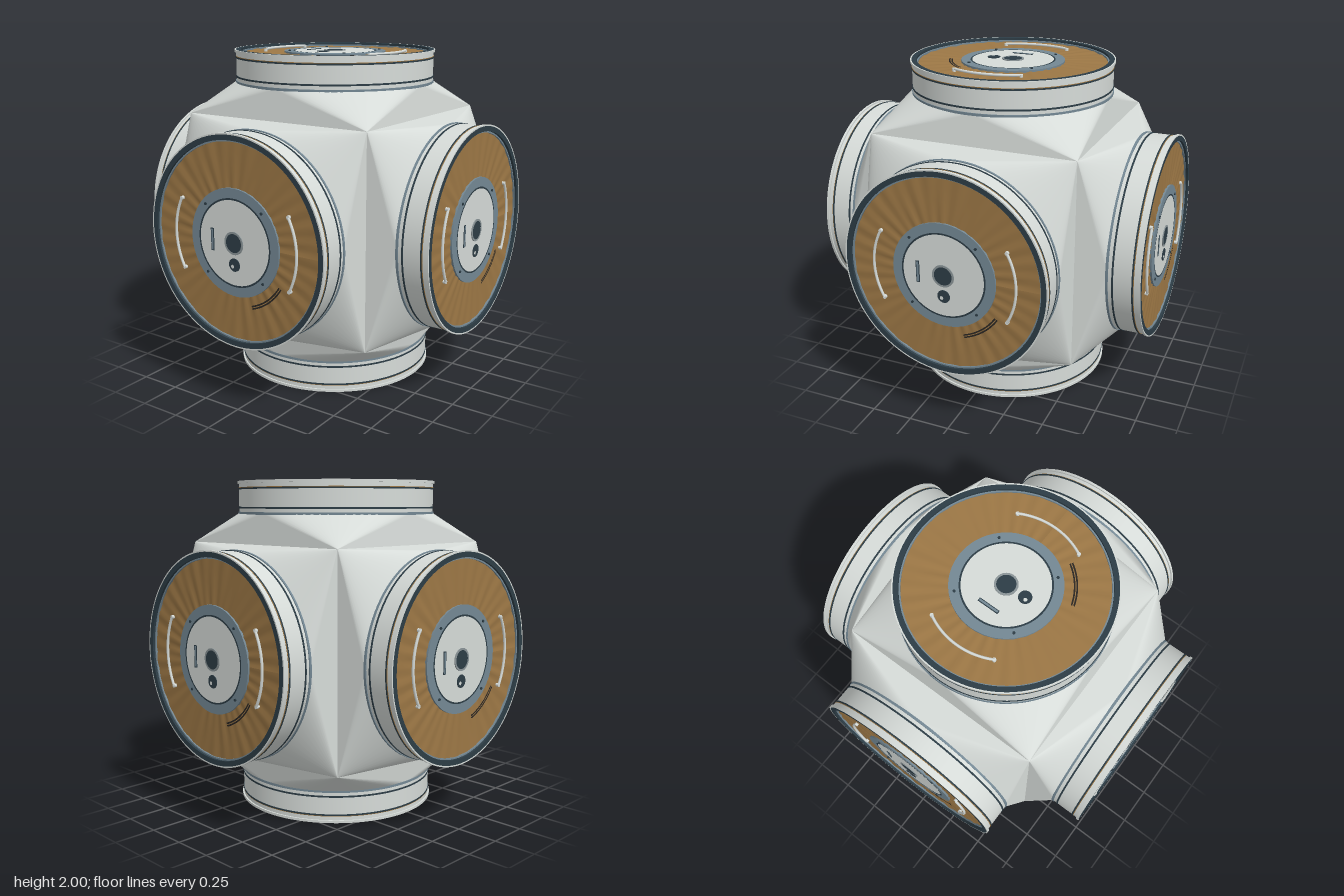
import * as THREE from 'three';
import { mergeGeometries } from 'three/addons/utils/BufferGeometryUtils.js';

const mat = (name, color) => {
  const m = new THREE.MeshStandardMaterial({ color });
  m.name = name;
  return m;
};

export function createModel() {
  const hull = mat('hull light grey', 0xd6dbd8);
  const slate = mat('slate blue', 0x748894);
  const dark = mat('dark seal', 0x2d3d46);
  const foil = mat('golden foil', 0x9c7745);
  const black = mat('black slot', 0x2a2622);
  const shade = mat('hub grey', 0x8a9497);

  const port = new THREE.Group();
  const add = (name, geometry, material, x = 0, y = 0, z = 0) => {
    const mesh = new THREE.Mesh(geometry, material);
    mesh.name = name;
    mesh.position.set(x, y, z);
    port.add(mesh);
    return mesh;
  };

  // Turned part about the port axis; every [radius, depth] step keeps a sharp edge
  const turned = (name, material, profile, segments = 96, x = 0, y = 0) => {
    const pieces = [];
    for (let i = 0; i + 1 < profile.length; i++) {
      const pair = [profile[i], profile[i + 1]].map(([r, z]) => new THREE.Vector2(r, z));
      pieces.push(new THREE.LatheGeometry(pair, segments));
    }
    return add(name, mergeGeometries(pieces).rotateX(Math.PI / 2), material, x, y);
  };

  // Square-to-round shoulder: a cone fan at each corner, a flat triangle on each edge
  const A = 0.627, R = 0.605, H = 0.805, STEPS = 20;
  const pos = [], nor = [];
  const vertex = (p, n) => { pos.push(p.x, p.y, p.z); nor.push(n.x, n.y, n.z); };
  const rim = (t) => new THREE.Vector3(R * Math.cos(t), R * Math.sin(t), H);
  const corner = (k) => {
    const t = Math.PI / 4 + k * Math.PI / 2;
    return new THREE.Vector3(A * Math.SQRT2 * Math.cos(t), A * Math.SQRT2 * Math.sin(t), A);
  };
  const coneNormal = (t, c) => new THREE.Vector3(-Math.sin(t), Math.cos(t), 0)
    .cross(rim(t).sub(c)).normalize();
  for (let k = 0; k < 4; k++) {
    const c = corner(k), start = k * Math.PI / 2;
    for (let i = 0; i < STEPS; i++) {
      const t1 = start + (i / STEPS) * Math.PI / 2;
      const t2 = start + ((i + 1) / STEPS) * Math.PI / 2;
      vertex(c, coneNormal((t1 + t2) / 2, c));
      vertex(rim(t2), coneNormal(t2, c));
      vertex(rim(t1), coneNormal(t1, c));
    }
    const n = coneNormal(start, c);
    [corner(k - 1), c, rim(start)].forEach((p) => vertex(p, n));
  }
  const shoulder = new THREE.BufferGeometry();
  shoulder.setAttribute('position', new THREE.Float32BufferAttribute(pos, 3));
  shoulder.setAttribute('normal', new THREE.Float32BufferAttribute(nor, 3));
  add('shoulder', shoulder, hull);

  // Collar with its seams and end flange
  turned('collar', hull, [[0.603, 0.8], [0.603, 0.985], [0.612, 0.985], [0.612, 1], [0.604, 1]]);
  turned('baseBand', slate, [[0.603, 0.8], [0.608, 0.8], [0.608, 0.815], [0.603, 0.815]]);
  turned('collarSeam', dark, [[0.603, 0.835], [0.606, 0.835], [0.606, 0.845], [0.603, 0.845]]);
  turned('flangeSeam', dark, [[0.603, 0.949], [0.606, 0.949], [0.606, 0.958], [0.603, 0.958]]);
  turned('flangeFoilLine', foil, [[0.603, 0.958], [0.605, 0.958], [0.605, 0.962], [0.603, 0.962]]);

  // Hatch face
  turned('hatchSeal', dark, [[0.604, 1], [0.574, 1], [0.574, 0.965]]);
  turned('sealLiner', slate, [[0.574, 0.986], [0.565, 0.986], [0.565, 0.965]]);
  const blanket = new THREE.RingGeometry(0.3, 0.568, 144, 4);
  const bp = blanket.attributes.position;
  for (let i = 0; i < bp.count; i++) {
    const x = bp.getX(i), y = bp.getY(i), r = Math.hypot(x, y), t = Math.atan2(y, x);
    const fold = Math.sin(36 * t + 5 * r) + 0.6 * Math.sin(23 * t - 9 * r);
    bp.setZ(i, 0.0022 * fold);
  }
  blanket.computeVertexNormals();
  add('foilBlanket', blanket, foil, 0, 0, 0.977);
  turned('hatchRing', slate, [[0.31, 0.968], [0.31, 0.988], [0.25, 0.988]]);
  turned('plateOutline', dark, [[0.254, 0.989], [0.244, 0.989]]);
  turned('hatchPlate', hull, [[0.25, 0.988], [0, 0.988]]);
  turned('hubRing', shade, [[0.066, 0.988], [0.066, 0.993], [0.054, 0.993]], 32);
  turned('hubWindow', dark, [[0.056, 0.992], [0, 0.992]], 32);
  turned('valve', dark, [[0.038, 0.988], [0.038, 0.992], [0, 0.992]], 24, 0, -0.125);
  turned('valveInset', hull, [[0.011, 0.993], [0, 0.993]], 16, -0.012, -0.135);
  for (let k = 0; k < 4; k++) {
    const t = Math.PI / 4 + k * Math.PI / 2;
    turned('ringBolt', dark, [[0.008, 0.988], [0.008, 0.994], [0, 0.994]], 10,
      0.28 * Math.cos(t), 0.28 * Math.sin(t));
  }
  add('latchSlotFrame', new THREE.BoxGeometry(0.021, 0.13, 0.006), dark, -0.155, 0, 0.988);
  add('latchSlot', new THREE.BoxGeometry(0.012, 0.12, 0.008), slate, -0.155, 0, 0.988);

  // Curved handrails with feet, one on each side
  class Arc extends THREE.Curve {
    constructor(mid) { super(); this.mid = mid; }
    getPoint(u, target = new THREE.Vector3()) {
      const t = this.mid + (u - 0.5) * 1.0;
      return target.set(0.43 * Math.cos(t), 0.43 * Math.sin(t), 0.991);
    }
  }
  for (const mid of [0, Math.PI]) {
    const arc = new Arc(mid);
    add('handrail', new THREE.TubeGeometry(arc, 24, 0.008, 8), hull);
    for (const u of [0, 1]) {
      const p = arc.getPoint(u);
      const foot = new THREE.CylinderGeometry(0.011, 0.011, 0.026, 10).rotateX(Math.PI / 2);
      add('handrailFoot', foot, hull, p.x, p.y, 0.982);
    }
  }

  // Paired dark slots along the lower edge
  for (const r of [0.36, 0.374]) {
    const slot = new THREE.RingGeometry(r, r + 0.009, 20, 1, -1.26, 0.68);
    add('foilSlot', slot, black, 0, 0, 0.984);
  }

  // Six identical ports around the node
  const model = new THREE.Group();
  model.name = 'dockingNode';
  const q = Math.PI / 2;
  const sides = [
    ['frontPort', 0, 0], ['leftPort', 0, q], ['backPort', 0, 2 * q],
    ['rightPort', 0, -q], ['topPort', -q, 0], ['bottomPort', q, 0],
  ];
  for (const [name, rx, ry] of sides) {
    const side = port.clone();
    side.name = name;
    side.rotation.set(rx, ry, 0);
    side.position.y = 1;
    model.add(side);
  }
  return model;
}
